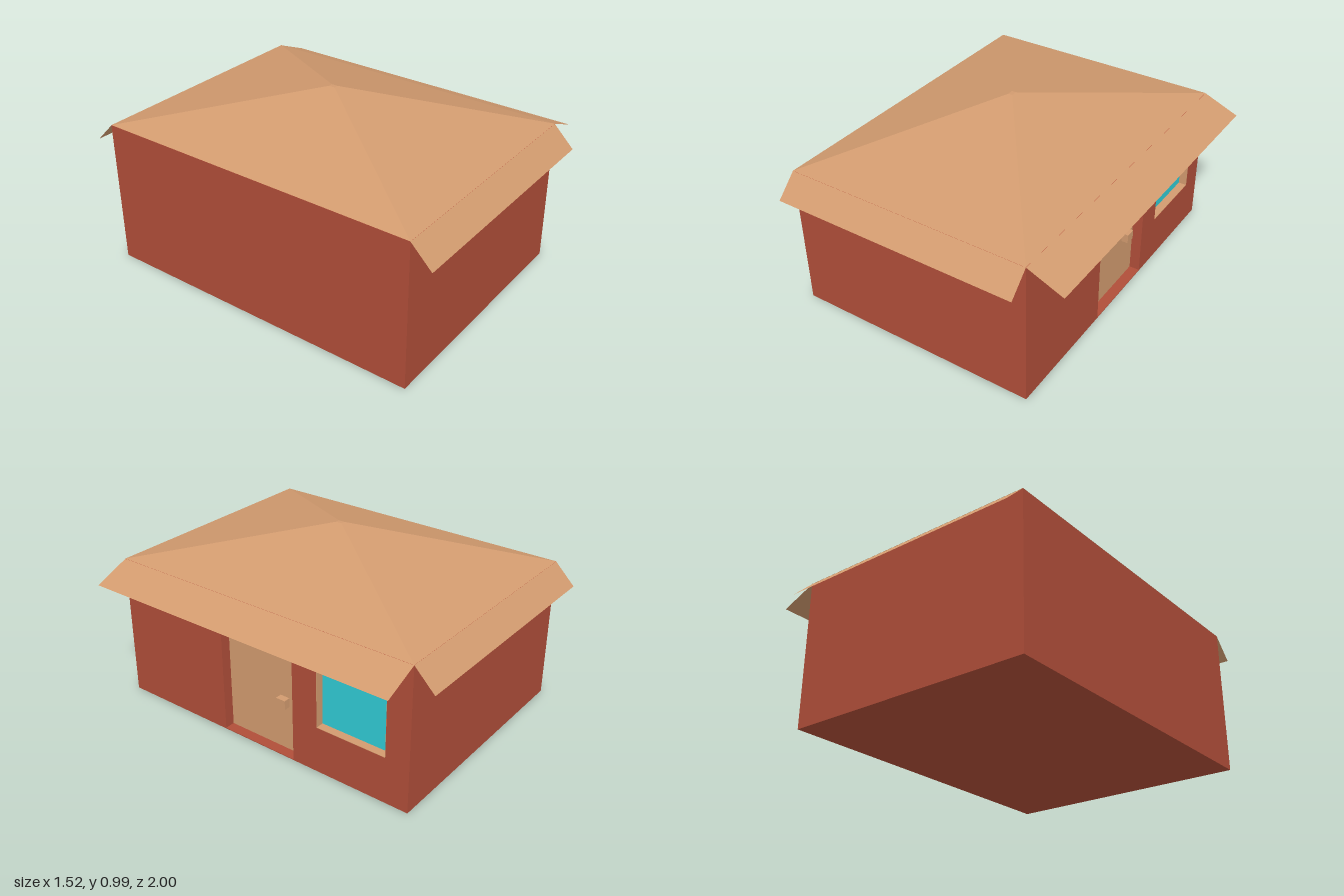
import * as THREE from 'three';

const mat = (name, color) => Object.assign(new THREE.MeshStandardMaterial({ color }), { name });

export function createModel() {
  const house = new THREE.Group();
  house.name = 'house';
  const red = mat('brick red', 0xb04e39);
  const tan = mat('tan', 0xd29b6f);
  const cyan = mat('window cyan', 0x30cbd5);
  const tanSheet = mat('tan sheet', 0xd29b6f);
  tanSheet.side = THREE.DoubleSide;

  // Extents of the walls, the eaves line and the depth of the wall with openings
  const x0 = -0.76, x1 = 0.57, z = 0.89, top = 0.78, wall = 0.06;

  const add = (name, geometry, material) => {
    const mesh = new THREE.Mesh(geometry, material);
    mesh.name = name;
    house.add(mesh);
    return mesh;
  };
  // Box given by its min and max corners
  const box = (name, material, a, b) => {
    const g = new THREE.BoxGeometry(b[0] - a[0], b[1] - a[1], b[2] - a[2]);
    g.translate((a[0] + b[0]) / 2, (a[1] + b[1]) / 2, (a[2] + b[2]) / 2);
    return add(name, g, material);
  };
  // Flat four-cornered sheets, corners counter-clockwise from outside
  const sheets = (name, quads) => {
    const g = new THREE.BufferGeometry();
    const points = quads.flatMap(([a, b, c, d]) => [a, b, c, a, c, d]).flat();
    g.setAttribute('position', new THREE.Float32BufferAttribute(points, 3));
    g.computeVertexNormals();
    return add(name, g, tanSheet);
  };
  const rect = (path, u0, v0, u1, v1) =>
    path.moveTo(u0, v0).lineTo(u1, v0).lineTo(u1, v1).lineTo(u0, v1).closePath();

  // Body, with a separate wall holding the door and window openings
  box('body', red, [x0, 0, -z], [x1 - wall, top, z]);
  const outline = rect(new THREE.Shape(), -z, 0, z, top);
  outline.holes.push(rect(new THREE.Path(), -0.23, 0.004, 0.22, 0.585));
  outline.holes.push(rect(new THREE.Path(), 0.365, 0.25, 0.76, 0.585));
  const wallGeo = new THREE.ExtrudeGeometry(outline, { depth: wall, bevelEnabled: false });
  wallGeo.rotateY(Math.PI / 2).translate(x1 - wall, 0, 0);
  add('entranceWall', wallGeo, red);

  // Door and handle
  const back = x1 - wall;
  box('door', tan, [back - 0.01, 0.004, -0.22], [back + 0.004, 0.585, 0.23]);
  box('doorHandle', tan, [back, 0.255, -0.155], [back + 0.04, 0.305, -0.1]);

  // Window pane and the thin lining of its opening
  box('windowPane', cyan, [back - 0.01, 0.25, -0.76], [back + 0.015, 0.585, -0.365]);
  const t = 0.002;
  for (const y of [0.25, 0.585 - t]) {
    box('windowLining', tan, [back, y, -0.76], [x1 - 0.001, y + t, -0.365]);
  }
  for (const w of [-0.76, -0.365 - t]) {
    box('windowLining', tan, [back, 0.25, w], [x1 - 0.001, 0.585, w + t]);
  }

  // Hipped roof rising to a tiny flat cap
  const ring = (a, b, y, d) => [[a, y, d], [b, y, d], [b, y, -d], [a, y, -d]];
  const low = ring(x0, x1, top + 0.001, z);
  const cap = ring(-0.107, -0.083, 0.992, 0.017);
  const slopes = low.map((p, i) => [p, low[(i + 1) % 4], cap[(i + 1) % 4], cap[i]]);
  sheets('roof', [...slopes, cap]);

  // Drooping eaves at the front, back and entrance side
  const drop = 0.67, sideDrop = 0.7;
  sheets('frontEave', [[[x0, drop, 1], [x1, drop, 1], [x1, top, z], [x0, top, z]]]);
  sheets('backEave', [[[x1, drop, -1], [x0, drop, -1], [x0, top, -z], [x1, top, -z]]]);
  sheets('entranceEave', [[[0.76, sideDrop, z], [0.76, sideDrop, -z], [x1, top, -z], [x1, top, z]]]);

  return house;
}
